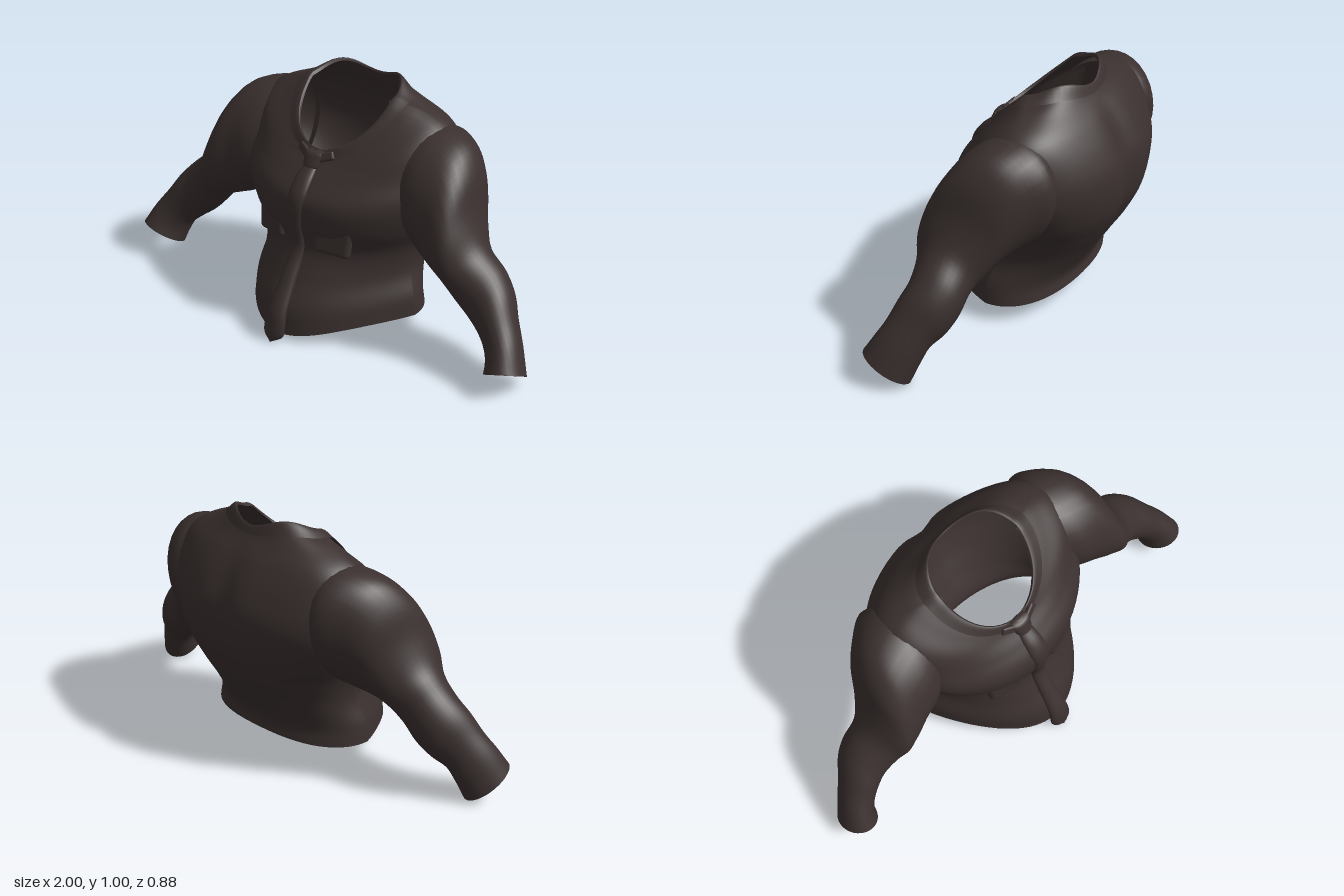
import * as THREE from 'three';
import { RoundedBoxGeometry } from 'three/addons/geometries/RoundedBoxGeometry.js';

const cloth = new THREE.MeshStandardMaterial({ color: 0x3a302f, side: THREE.DoubleSide });
cloth.name = 'dark brown cloth';

const V = (x, y, z) => new THREE.Vector3(x, y, z);

// Smooth skin through a stack of cross-sections (each an array of points); cutout(point) opens holes
function loft(rings, steps, { closed = true, cutout = () => false } = {}) {
  const n = rings[0].length;
  const columns = rings[0].map((_, j) => new THREE.CatmullRomCurve3(rings.map((r) => r[j])));
  const points = [], idx = [];
  for (let i = 0; i <= steps; i++) {
    for (let j = 0; j < n; j++) points.push(columns[j].getPoint(i / steps));
  }
  for (let i = 0; i < steps; i++) {
    for (let j = 0; j < (closed ? n : n - 1); j++) {
      const k = (j + 1) % n;
      const a = i * n + j, b = i * n + k, c = a + n, d = b + n;
      if (!cutout(points[a])) idx.push(a, b, c, b, d, c);
    }
  }
  const g = new THREE.BufferGeometry().setFromPoints(points);
  g.setIndex(idx);
  g.computeVertexNormals();
  return g;
}

function part(group, name, geometry) {
  const m = new THREE.Mesh(geometry, cloth);
  m.name = name;
  group.add(m);
  return m;
}

// Torso girths: front y z | side x y z | back y z | height falloff | back furrow | neck hump | front, back pointedness
const girths = [
  [0.025, 0.39, 0.40, 0.08, 0.0, 0.095, -0.245, 6, 0, 0, 1.8, 0.9],
  [0.14, 0.37, 0.39, 0.16, 0.0, 0.14, -0.24, 2, 0, 0, 1.75, 0.9],
  [0.25, 0.31, 0.36, 0.27, -0.03, 0.26, -0.31, 2, 0.01, 0, 1.5, 0.9],
  [0.37, 0.26, 0.375, 0.37, -0.06, 0.38, -0.385, 2, 0.02, 0, 1.2, 0.88],
  [0.48, 0.28, 0.42, 0.47, -0.08, 0.50, -0.435, 2, 0.025, 0, 1, 0.82],
  [0.58, 0.272, 0.47, 0.60, -0.10, 0.66, -0.44, 2, 0.025, 0, 1, 0.75],
  [0.66, 0.21, 0.47, 0.72, -0.12, 0.76, -0.40, 1.6, 0.02, 0, 1, 0.75],
  [0.71, 0.16, 0.435, 0.85, -0.12, 0.85, -0.34, 1.4, 0.01, 0, 0.95, 0.8],
  [0.735, 0.14, 0.315, 0.918, -0.11, 0.915, -0.28, 1.2, 0, 0.01, 0.95, 0.9],
  [0.75, 0.13, 0.20, 0.945, -0.07, 0.955, -0.25, 1, 0, 0.035, 1, 1],
];

// Point on a girth; angle 0 faces front and turns towards +x
function girthPoint([fy, fz, sx, sy, sz, by, bz, fall, furrow, hump, fp, bp], t) {
  const c = Math.cos(t), s = Math.sin(t), a = Math.abs(c);
  const x = sx * s;
  let y = sy + ((c > 0 ? fy : by) - sy) * Math.pow(a, fall);
  let z = sz + ((c > 0 ? fz : bz) - sz) * Math.pow(a, c > 0 ? fp : bp);
  if (c < 0) {
    z += furrow * Math.exp(-((x / 0.06) ** 2));
    y += hump * Math.sin(2 * t) ** 2;
  }
  return V(x, y, z);
}

const arc = (girth, n, from, to) =>
  Array.from({ length: n }, (_, j) => girthPoint(girth, from + ((to - from) * j) / n));

// Armholes in the torso, hidden by the sleeves
const armhole = (p) =>
  Math.abs(p.x) > 0.36 && ((p.y - 0.65) / 0.17) ** 2 + ((p.z + 0.11) / 0.14) ** 2 < 1;

// Sleeve sections: top x y | bottom x y | front z | back z | cuff slant | backward lean of the top
const sleeveSections = [
  [0.35, 0.87, 0.35, 0.45, 0.08, -0.29, 0, 0.03],
  [0.43, 0.868, 0.41, 0.40, 0.115, -0.32, 0, 0.03],
  [0.54, 0.832, 0.47, 0.365, 0.13, -0.265, 0, 0.03],
  [0.605, 0.75, 0.53, 0.345, 0.15, -0.215, 0, 0.02],
  [0.65, 0.61, 0.60, 0.315, 0.16, -0.155, 0, 0],
  [0.705, 0.50, 0.65, 0.26, 0.135, -0.11, 0, 0],
  [0.79, 0.425, 0.71, 0.20, 0.125, -0.10, 0, 0],
  [0.85, 0.36, 0.77, 0.155, 0.14, -0.075, 0.005, 0],
  [0.90, 0.28, 0.81, 0.12, 0.16, -0.03, 0.01, 0],
  [0.95, 0.20, 0.83, 0.08, 0.185, 0.0, 0.03, 0],
  [0.998, 0.10, 0.84, 0.04, 0.218, 0.03, 0.052, 0],
];

function sleeveRing([tx, ty, bx, by, zf, zb, slant, lean], side) {
  return Array.from({ length: 32 }, (_, j) => {
    const a = (side * j * Math.PI * 2) / 32, c = Math.cos(a), s = Math.sin(a);
    return V(
      side * ((tx + bx) / 2 + ((tx - bx) / 2) * c),
      (ty + by) / 2 + ((ty - by) / 2) * c + slant * s,
      (zf + zb) / 2 + ((zf - zb) / 2) * s - lean * c,
    );
  });
}

// Soft strip section for the tie: height, depth position, half width, half thickness
function stripRing([y, z, w, d]) {
  return Array.from({ length: 16 }, (_, j) => {
    const t = (j * Math.PI * 2) / 16;
    return V(w * Math.sin(t), y, z + d * Math.cos(t));
  });
}

export function createModel() {
  const shirt = new THREE.Group();
  shirt.name = 'shirt';

  // Body, open at the hem and neck
  part(shirt, 'torso', loft(girths.map((g) => arc(g, 80, 0, Math.PI * 2)), 60, { cutout: armhole }));

  // Folded collar, open at the throat
  const edge = [0.728, 0.152, 0.265, 0.94, -0.085, 0.928, -0.274, 1.1, 0, 0.02, 0.97, 0.95];
  const fold = [0.76, 0.138, 0.21, 0.957, -0.072, 0.962, -0.255, 1, 0, 0.038, 1, 1];
  const gap = 0.25;
  const collarRings = [edge, fold, girths[9]].map((g) => arc(g, 56, gap, Math.PI * 2 - gap + 0.1));
  part(shirt, 'collar', loft(collarRings, 10, { closed: false }));

  for (const side of [1, -1]) {
    const label = side > 0 ? 'left' : 'right';
    part(shirt, label + 'Sleeve', loft(sleeveSections.map((s) => sleeveRing(s, side)), 50));

    // Chest pocket, its top sinking into the chest
    const pocket = part(shirt, label + 'Pocket', new RoundedBoxGeometry(0.16, 0.13, 0.044, 4, 0.021));
    pocket.position.set(side * 0.155, 0.435, 0.226);
    pocket.rotation.set(-0.1, side * 0.28, side * -0.06);

    // Collar point beside the knot
    const tip = part(shirt, label + 'CollarPoint', new RoundedBoxGeometry(0.07, 0.035, 0.02, 2, 0.008));
    tip.position.set(side * 0.055, 0.737, 0.148);
    tip.rotation.set(-0.4, side * 0.2, side * 0.45);
  }

  // Tie blade from tip to knot
  const tie = [
    [0.003, 0.425, 0.004, 0.015], [0.03, 0.414, 0.046, 0.025], [0.07, 0.407, 0.05, 0.025],
    [0.13, 0.39, 0.045, 0.027], [0.25, 0.32, 0.037, 0.027], [0.37, 0.262, 0.033, 0.022],
    [0.48, 0.273, 0.035, 0.02], [0.59, 0.263, 0.042, 0.022], [0.65, 0.222, 0.04, 0.025],
    [0.70, 0.168, 0.03, 0.022],
  ];
  part(shirt, 'tie', loft(tie.map(stripRing), 45));

  // Knot
  const knot = [
    [0.682, 0.175, 0.012, 0.01], [0.69, 0.174, 0.034, 0.024], [0.72, 0.16, 0.042, 0.026],
    [0.745, 0.148, 0.046, 0.022], [0.752, 0.144, 0.01, 0.006],
  ];
  part(shirt, 'tieKnot', loft(knot.map(stripRing), 16));

  return shirt;
}
